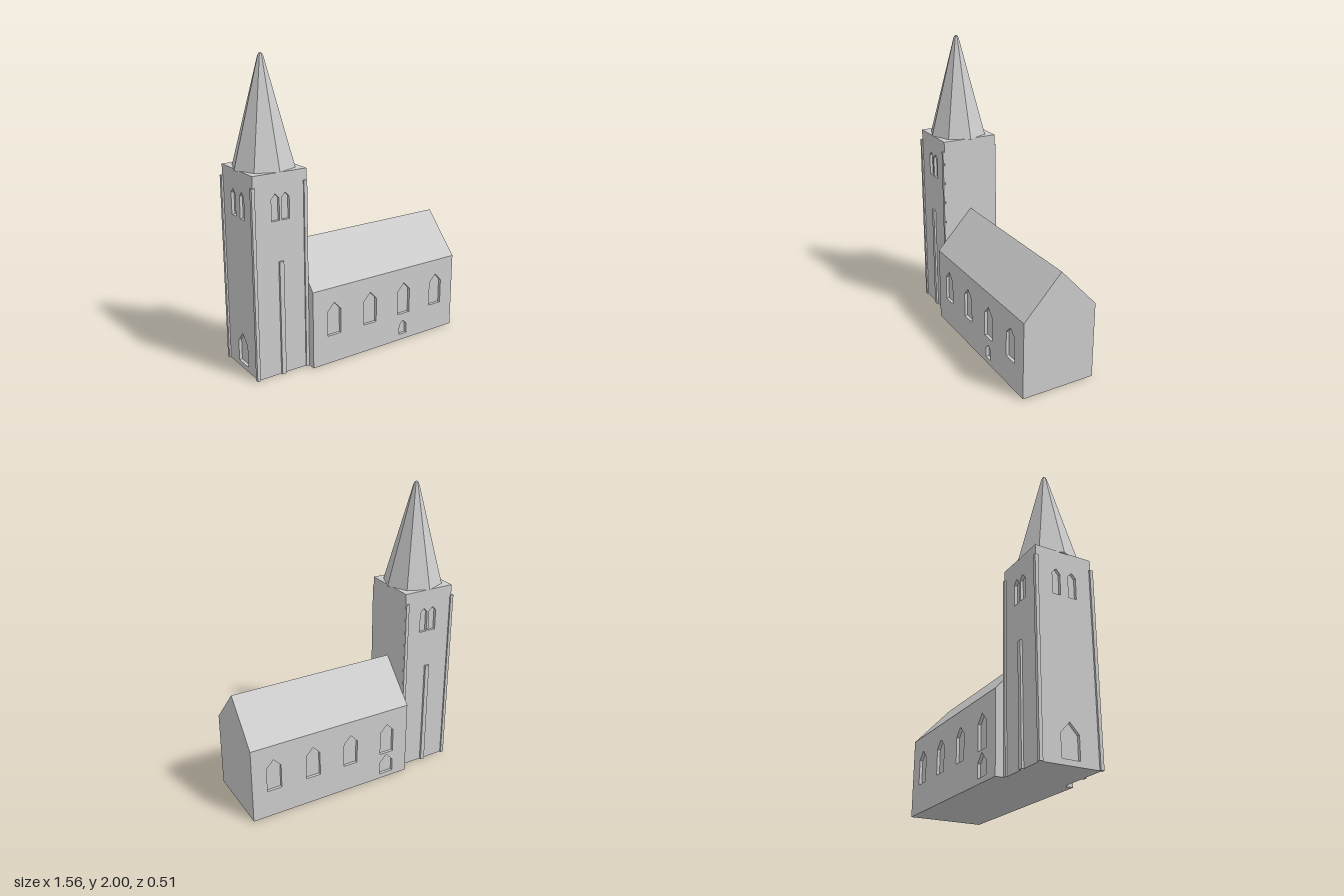
import * as THREE from 'three';

const T = 0.02; // depth of the window recesses

export function createModel() {
  const stone = new THREE.MeshStandardMaterial({ color: 0xcccccc, flatShading: true });
  stone.name = 'pale stone';
  const church = new THREE.Group();
  church.name = 'church';

  const add = (name, geometry, x, y, z, turn = 0) => {
    const mesh = new THREE.Mesh(geometry, stone);
    mesh.name = name;
    mesh.position.set(x, y, z);
    mesh.rotation.y = turn;
    church.add(mesh);
    return mesh;
  };
  // Box standing on height y
  const block = (name, w, h, d, x, y, z) => add(name, new THREE.BoxGeometry(w, h, d), x, y + h / 2, z);
  const polygon = (pts, Kind = THREE.Shape) => new Kind(pts.map(p => new THREE.Vector2(...p)));
  const extrude = (shape, depth) => new THREE.ExtrudeGeometry(shape, { depth, bevelEnabled: false });

  // Wall with pointed openings [centre, width, bottom, shoulder, apex]; outer face at local z = T
  const wall = (name, w, h, openings, x, z, turn) => {
    const shape = polygon([[-w / 2, 0], [w / 2, 0], [w / 2, h], [-w / 2, h]]);
    for (const [u, ow, y0, y1, y2] of openings) {
      shape.holes.push(polygon([
        [u - ow / 2, y0], [u - ow / 2, y1], [u, y2], [u + ow / 2, y1], [u + ow / 2, y0],
      ], THREE.Path));
    }
    add(name, extrude(shape, T), x, 0, z, turn);
  };

  // Nave
  const x0 = -0.397, x1 = 0.777, hw = 0.257, eave = 0.525, ridge = 0.802;
  const cx = (x0 + x1) / 2, len = x1 - x0;
  const windowXs = [-0.235, 0.053, 0.338, 0.621];
  const naveWindows = side => windowXs.map(x => [side * (x - cx), 0.102, 0.195, 0.365, 0.42]);
  block('naveCore', len - 2 * T, eave, 2 * (hw - T), cx, 0, 0);
  wall('naveFrontWall', len - 2 * T, eave,
    [...naveWindows(1), [0.336 - cx, 0.06, 0.042, 0.112, 0.14]], cx, hw - T, 0);
  wall('naveBackWall', len - 2 * T, eave,
    [...naveWindows(-1), [cx - windowXs[0], 0.102, 0.035, 0.125, 0.18]], cx, T - hw, Math.PI);
  const gable = polygon([[-hw, 0], [hw, 0], [hw, eave], [0, ridge], [-hw, eave]]);
  for (const x of [x0, x1 - T]) add('gableWall', extrude(gable, T), x, 0, 0, Math.PI / 2);
  const roof = polygon([[-hw, eave], [hw, eave], [0, ridge]]);
  add('naveRoof', extrude(roof, len - 2 * T), x0 + T, 0, 0, Math.PI / 2);

  // Tower
  const tx = -0.58, tw = 0.37, td = 0.39, th = 1.317;
  const pair = offset => [-offset, offset].map(u => [u, 0.054, 1.02, 1.16, 1.19]);
  block('towerCore', tw - 2 * T, th, td - 2 * T, tx, 0, 0);
  wall('towerFrontWall', tw, th, pair(0.035), tx, td / 2 - T, 0);
  wall('towerBackWall', tw, th, pair(0.035), tx, T - td / 2, Math.PI);
  wall('towerInnerWall', td - 2 * T, th, [], tx + tw / 2 - T, 0, Math.PI / 2);
  wall('towerOuterWall', td - 2 * T, th,
    [...pair(0.055), [0, 0.12, 0.035, 0.18, 0.245]], tx - tw / 2 + T, 0, -Math.PI / 2);

  // Corner and middle pilasters
  for (const s of [-1, 1]) {
    for (const x of [-0.766, -0.407]) block('cornerPilaster', 0.022, 1.245, 0.022, x, 0, s * 0.194);
    block('middlePilaster', 0.03, 0.76, 0.024, -0.586, 0, s * 0.197);
  }

  // Eight-sided spire with a blunt tip
  const profile = [[0, 1.312], [0.201, 1.312], [0.02, 1.975], [0.012, 1.993], [0, 2]];
  add('spire', new THREE.LatheGeometry(profile.map(p => new THREE.Vector2(...p)), 8), tx, 0, 0);

  return church;
}
